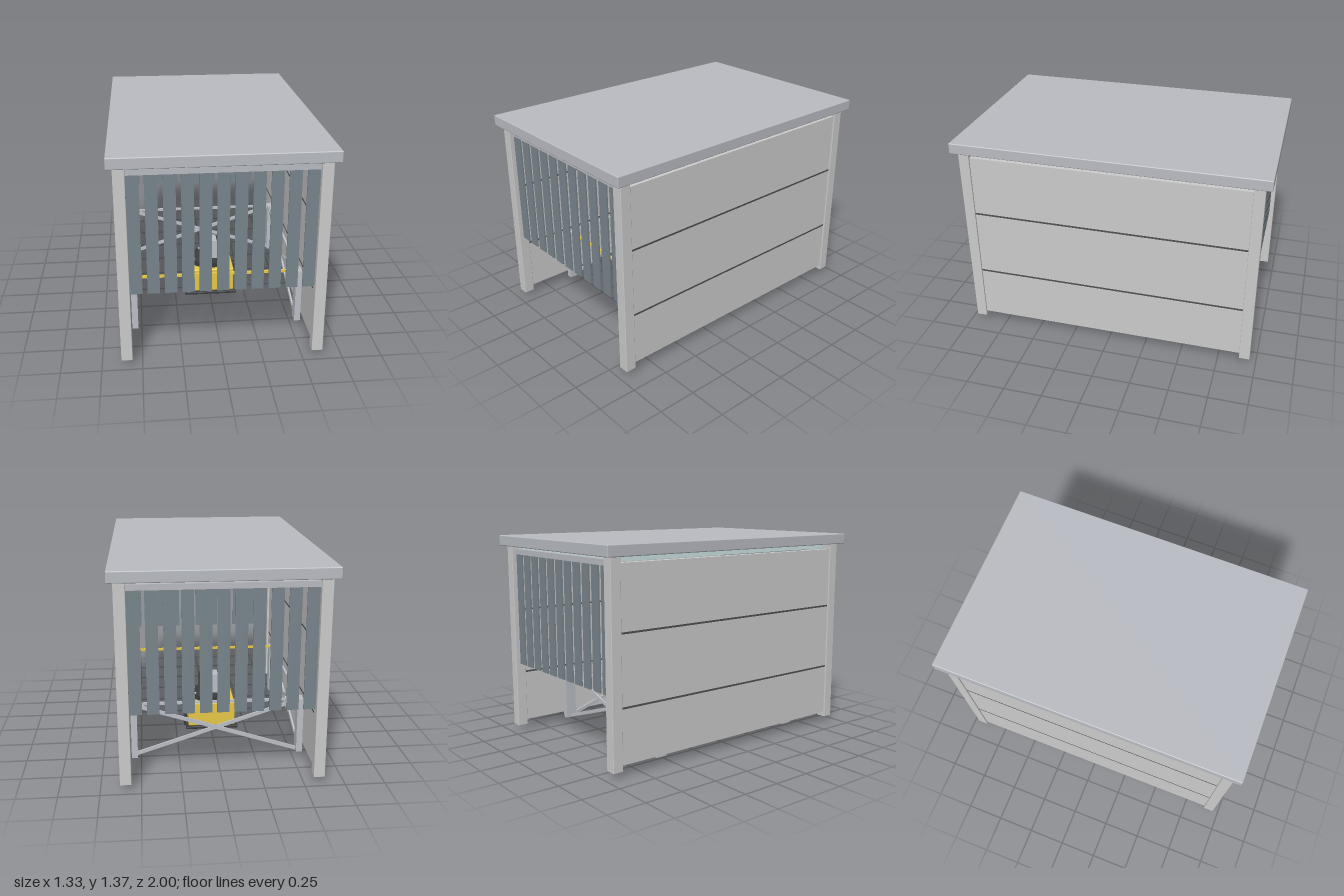
import * as THREE from 'three';
import { RoundedBoxGeometry } from 'three/addons/geometries/RoundedBoxGeometry.js';

const mat = (color) => new THREE.MeshStandardMaterial({ color });

export function createModel() {
  const root = new THREE.Group();
  const grey = mat(0xcccccc), roofGrey = mat(0xb9bcc2), steel = mat(0xbcc0c6);
  const curtain = mat(0x78858c), dark = mat(0x3c3d3f), seamGrey = mat(0x505254);
  const yellow = mat(0xe8c848), pale = mat(0xd0e6e8);

  const add = (name, geo, material, x, y, z, parent = root) => {
    const m = new THREE.Mesh(geo, material);
    m.name = name;
    m.position.set(x, y, z);
    parent.add(m);
    return m;
  };
  // Box given by its minimum and maximum corner, optionally with rounded edges
  const box = (name, material, x0, x1, y0, y1, z0, z1, r = 0, parent = root) => {
    const s = [x1 - x0, y1 - y0, z1 - z0];
    const geo = r ? new RoundedBoxGeometry(...s, 2, r) : new THREE.BoxGeometry(...s);
    return add(name, geo, material, (x0 + x1) / 2, (y0 + y1) / 2, (z0 + z1) / 2, parent);
  };
  // Square bar running between two points
  const bar = (name, material, a, b, w, d, parent) => {
    const p = new THREE.Vector3(...a), q = new THREE.Vector3(...b);
    const mid = p.clone().add(q).multiplyScalar(0.5);
    const m = add(name, new THREE.BoxGeometry(w, d, p.distanceTo(q)), material, mid.x, mid.y, mid.z, parent);
    m.lookAt(q);
    return m;
  };
  const group = (name) => {
    const g = new THREE.Group();
    g.name = name;
    root.add(g);
    return g;
  };

  // Roof and the pale ceiling panel under it
  box('roof', roofGrey, -0.665, 0.665, 1.3, 1.37, -1, 1, 0.006);
  box('ceilingPanel', pale, -0.56, 0.56, 1.265, 1.3, -0.89, 0.89);

  // Corner posts
  for (const sx of [-1, 1]) for (const sz of [-1, 1]) {
    const post = add('post', new RoundedBoxGeometry(0.07, 1.26, 0.07, 2, 0.004), grey, sx * 0.595, 0.67, sz * 0.925);
    post.castShadow = true;
  }

  // Side walls: three stacked panels with dark seams between them
  for (const sx of [-1, 1]) {
    const wall = group(sx > 0 ? 'leftWall' : 'rightWall');
    for (const [y0, y1] of [[0.075, 0.415], [0.427, 0.856], [0.868, 1.263]])
      add('wallPanel', new THREE.BoxGeometry(0.045, y1 - y0, 1.78), grey, sx * 0.597, (y0 + y1) / 2, 0, wall);
    for (const y of [0.421, 0.862])
      add('wallSeam', new THREE.BoxGeometry(0.047, 0.012, 1.78), seamGrey, sx * 0.597, y, 0, wall);
  }

  // Strip curtains hanging from a header beam at both ends
  for (const sz of [-1, 1]) {
    const g = group(sz > 0 ? 'frontCurtain' : 'backCurtain');
    add('header', new THREE.BoxGeometry(1.12, 0.036, 0.035), roofGrey, 0, 1.263, sz * 0.925, g);
    for (let i = 0; i < 11; i++)
      add('curtainStrip', new THREE.BoxGeometry(0.074, 0.76, 0.01), curtain, (i - 5) * 0.1043, 0.865, sz * 0.925, g);
  }

  // Inner frame: four legs, top rails and crossed braces
  const frame = group('innerFrame');
  const X = 0.542, Z = 0.557;
  for (const sx of [-1, 1]) {
    for (const sz of [-1, 1])
      add('frameLeg', new THREE.BoxGeometry(0.04, 0.37, 0.075), steel, sx * X, 0.225, sz * Z, frame);
    bar('sideRail', steel, [sx * X, 0.402, -Z], [sx * X, 0.402, Z], 0.016, 0.016, frame);
    for (const s of [-1, 1])
      bar('sideBrace', steel, [sx * (X + 0.006 * s), 0.045, -s * Z], [sx * (X + 0.006 * s), 0.4, s * Z], 0.012, 0.024, frame);
    bar('backBrace', steel, [-sx * 0.555, 0.043, -Z - 0.006 * sx], [sx * 0.555, 0.402, -Z - 0.006 * sx], 0.012, 0.024, frame);
  }
  bar('backRail', steel, [-X, 0.402, -Z], [X, 0.402, -Z], 0.016, 0.016, frame);
  bar('frontRail', yellow, [-X, 0.402, Z], [X, 0.402, Z], 0.016, 0.016, frame);

  // Central machine: base plate, housing, turntable and column
  const unit = group('centralUnit');
  box('basePlate', dark, -0.183, 0.183, 0.042, 0.06, -0.183, 0.183, 0.004, unit);
  box('housing', yellow, -0.165, 0.165, 0.06, 0.23, -0.165, 0.165, 0.008, unit);
  add('turntable', new THREE.CylinderGeometry(0.14, 0.14, 0.035, 32), dark, 0, 0.247, 0, unit);
  for (let i = 0; i < 12; i++) {
    const a = (i * Math.PI) / 6;
    add('bolt', new THREE.CylinderGeometry(0.007, 0.007, 0.01, 6), steel, 0.125 * Math.cos(a), 0.268, 0.125 * Math.sin(a), unit);
  }
  box('column', steel, -0.055, 0.055, 0.264, 0.4, -0.055, 0.055, 0, unit);
  box('columnPlate', dark, 0.055, 0.077, 0.264, 0.4, -0.035, 0.035, 0, unit);
  box('sidePaddle', dark, 0.167, 0.19, 0.003, 0.205, -0.028, 0.028, 0.006, unit);

  return root;
}
